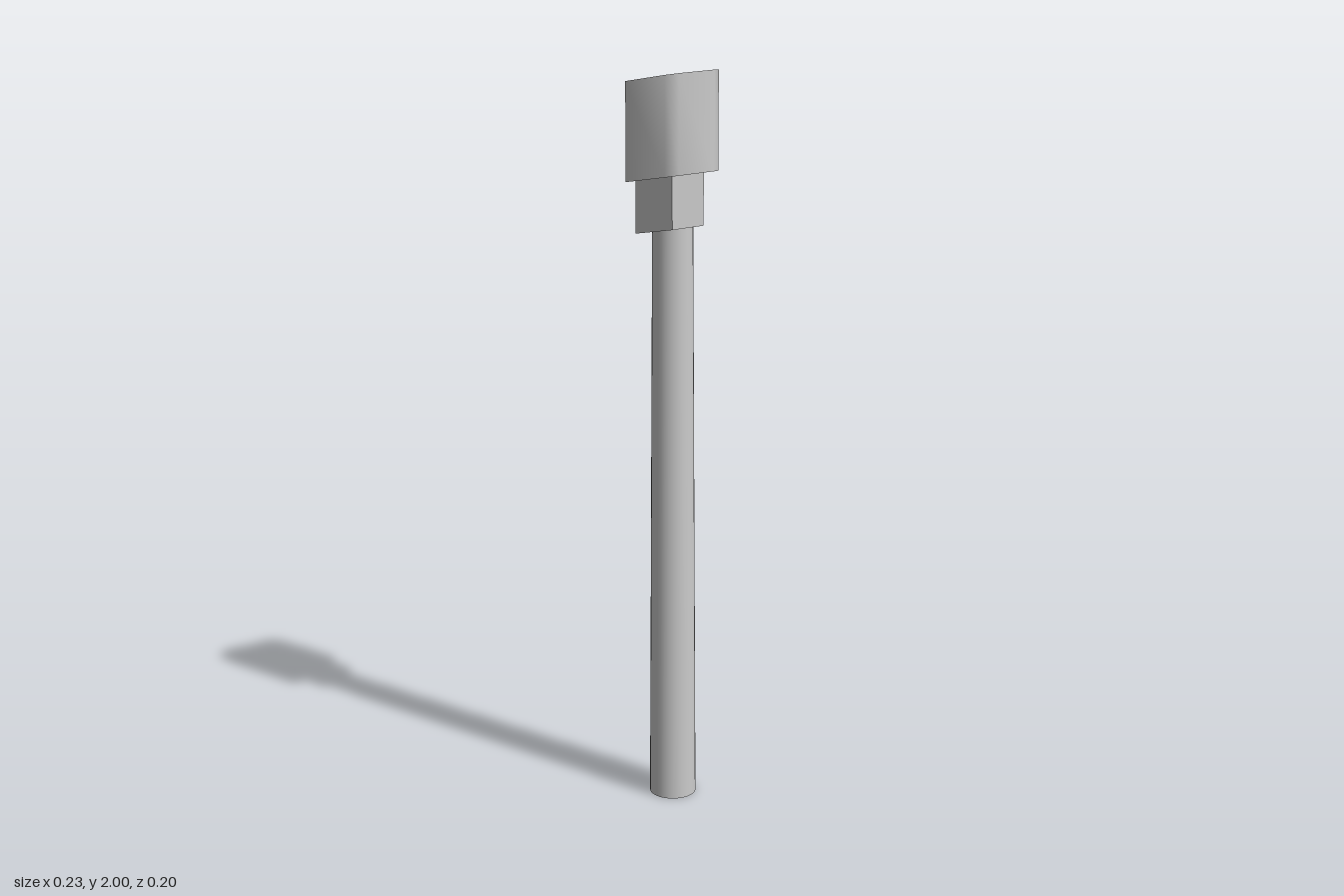
import * as THREE from 'three';
import { toCreasedNormals } from 'three/addons/utils/BufferGeometryUtils.js';

const SLOPE = 0.22; // head and neck tilt up toward the front

// Mirror half an outline of [x, z] points (back to front) into a counter-clockwise loop
function outline(half) {
  const left = half.filter(([x]) => x > 0).reverse().map(([x, z]) => [-x, z]);
  return [...half, ...left].reverse().map(([x, z]) => new THREE.Vector2(x, -z));
}

// Upright prism from y0 to y1 whose ends are sheared along z
function slantedPrism(half, y0, y1, holeHalf) {
  const shape = new THREE.Shape(outline(half));
  if (holeHalf) shape.holes.push(new THREE.Path(outline(holeHalf)));
  const geo = new THREE.ExtrudeGeometry(shape, { depth: y1 - y0, bevelEnabled: false });
  geo.rotateX(-Math.PI / 2).translate(0, y0, 0);
  const p = geo.attributes.position;
  for (let i = 0; i < p.count; i++) p.setY(i, p.getY(i) + SLOPE * p.getZ(i));
  return toCreasedNormals(geo, 0.9); // keeps the two back edges sharp
}

export function createModel() {
  const group = new THREE.Group();
  const solid = new THREE.MeshStandardMaterial({ color: 0xcccccc });
  const open = new THREE.MeshStandardMaterial({ color: 0xcccccc, side: THREE.DoubleSide });
  const add = (name, geo, material = solid) => {
    const mesh = new THREE.Mesh(geo, material);
    mesh.name = name;
    group.add(mesh);
    return mesh;
  };

  const rim = [[0.078, -0.1], [0.114, -0.053], [0.083, 0.078], [0.054, 0.099]];
  const bore = [[0, -0.086], [0.062, -0.074], [0.086, 0], [0.057, 0.072], [0, 0.079]];
  const collar = [[0.078, -0.062], [0.049, 0.062]];

  // Hollow head with a floor closing the bore
  add('headWall', slantedPrism(rim, 1.72, 1.978, bore));
  add('headFloor', slantedPrism(bore, 1.72, 1.78));

  // Wedge-shaped collar under the head
  add('neck', slantedPrism(collar, 1.582, 1.725));

  // Slightly tapered hollow pole, open at the foot
  const pole = add('shaft', new THREE.CylinderGeometry(0.053, 0.063, 1.61, 32, 1, true), open);
  pole.position.set(0, 0.805, -0.007);

  return group;
}
